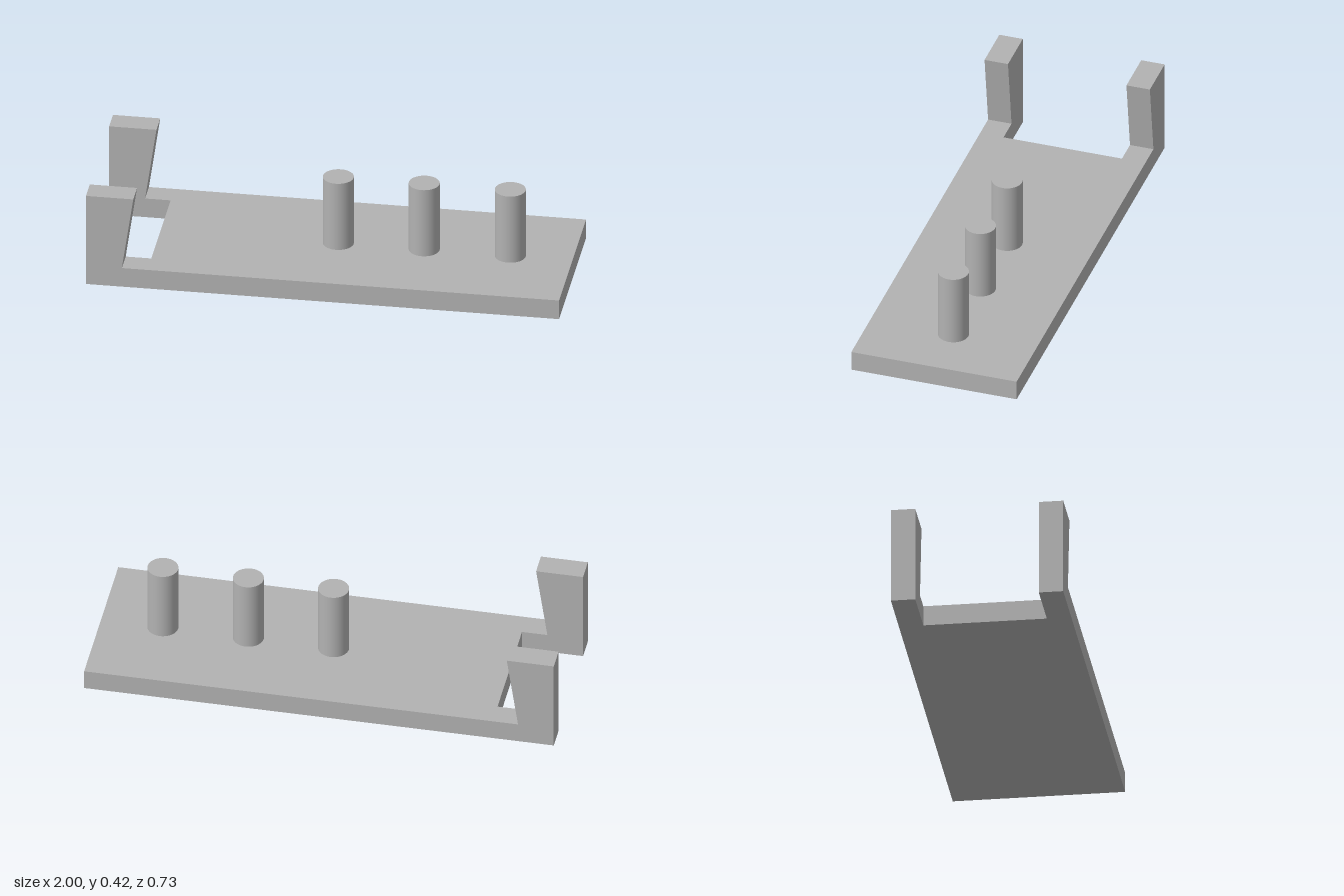
import * as THREE from 'three';

const HALF_DEPTH = 0.363, NOTCH = 0.26, BASE_TOP = 0.088;

const polygon = (points) => new THREE.Shape(points.map(([x, y]) => new THREE.Vector2(x, y)));
const extrude = (points, depth) =>
  new THREE.ExtrudeGeometry(polygon(points), { depth, bevelEnabled: false });

export function createModel() {
  const model = new THREE.Group();
  const grey = new THREE.MeshStandardMaterial({ color: 0xb2b2b2 });
  grey.name = 'plain grey';

  const add = (name, geometry) => {
    const mesh = new THREE.Mesh(geometry, grey);
    mesh.name = name;
    model.add(mesh);
    return mesh;
  };

  // Base plate with a rectangular notch in one end
  const plate = extrude([
    [-1, -HALF_DEPTH], [1, -HALF_DEPTH], [1, HALF_DEPTH], [-1, HALF_DEPTH],
    [-1, NOTCH], [-0.74, NOTCH], [-0.74, -NOTCH], [-1, -NOTCH],
  ], BASE_TOP);
  plate.rotateX(-Math.PI / 2);
  add('basePlate', plate);

  // Upright posts either side of the notch, wider at the top
  const post = [[-1, BASE_TOP], [-0.848, BASE_TOP], [-0.8, 0.417], [-1, 0.417]];
  for (const [name, z] of [['frontPost', NOTCH], ['backPost', -HALF_DEPTH]]) {
    add(name, extrude(post, HALF_DEPTH - NOTCH)).position.z = z;
  }

  // Row of round pegs along the centre line
  const pegHeight = 0.401 - BASE_TOP;
  [0.01, 0.373, 0.737].forEach((x, i) => {
    add(`peg${i + 1}`, new THREE.CylinderGeometry(0.065, 0.065, pegHeight, 48))
      .position.set(x, BASE_TOP + pegHeight / 2, 0);
  });

  return model;
}
